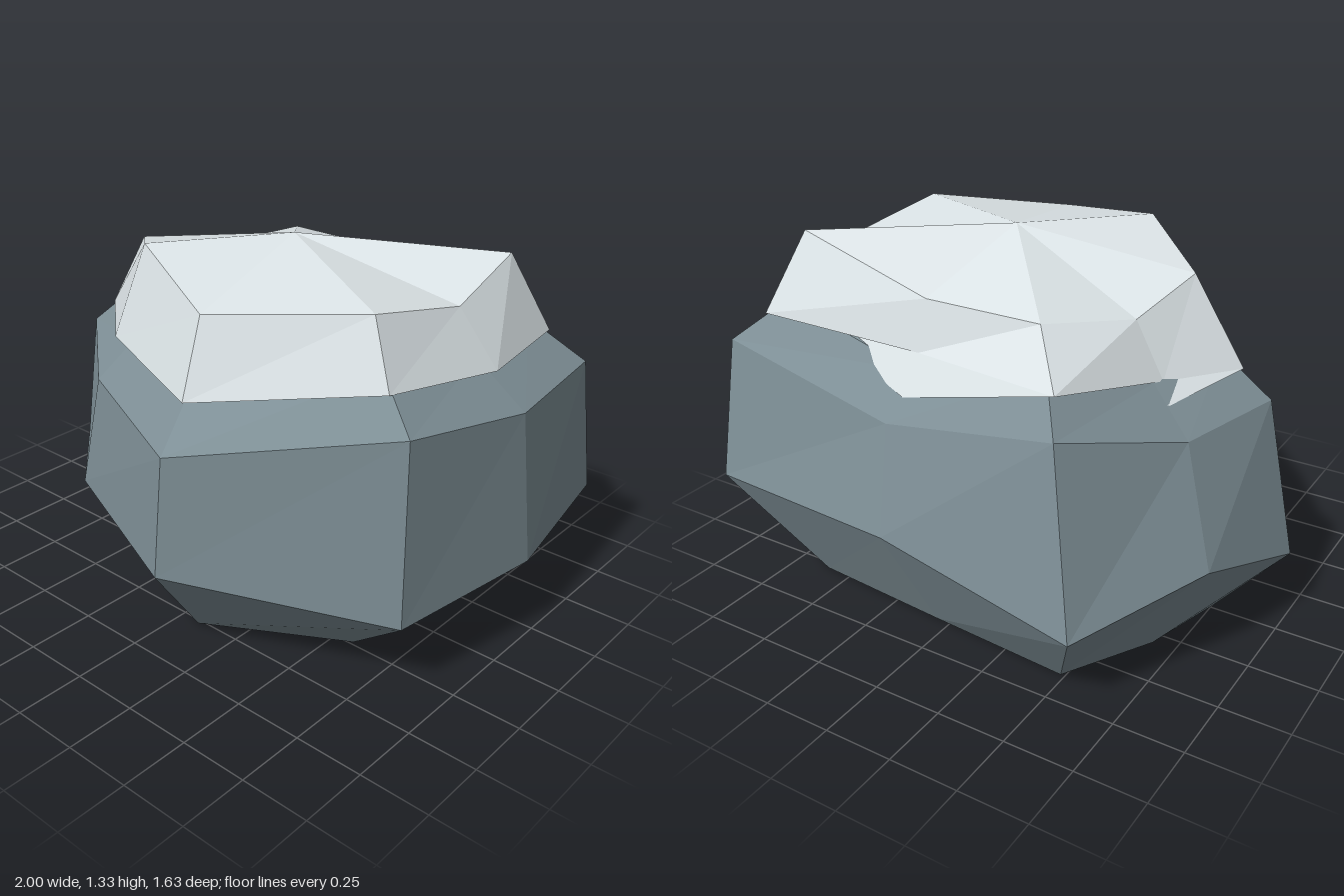
import * as THREE from 'three';

// Closed faceted skin over stacked nine-point rings, listed bottom to top.
function loft(rings, bottom, top) {
  const pos = [];
  const tri = (...pts) => pts.forEach((p) => pos.push(...p));
  const n = rings[0].length;
  for (let i = 0; i < n; i++) {
    const j = (i + 1) % n;
    tri(rings[0][j], rings[0][i], bottom);
    for (let k = 0; k < rings.length - 1; k++) {
      const lo = rings[k], hi = rings[k + 1];
      tri(lo[i], lo[j], hi[j]);
      tri(lo[i], hi[j], hi[i]);
    }
    const last = rings[rings.length - 1];
    tri(last[i], last[j], top);
  }
  const geo = new THREE.BufferGeometry();
  geo.setAttribute('position', new THREE.Float32BufferAttribute(pos, 3));
  geo.computeVertexNormals();
  return geo;
}

// Copies a ring with its plan scaled about a centre and its height shifted.
const inset = (ring, s, dy, cx = 0.03, cz = -0.03) =>
  ring.map(([x, y, z]) => [cx + (x - cx) * s, y + dy, cz + (z - cz) * s]);

export function createModel() {
  const rock = new THREE.MeshStandardMaterial({ name: 'blue grey rock', color: 0x7e8f96, flatShading: true });
  const snow = new THREE.MeshStandardMaterial({ name: 'snow white', color: 0xdde5e8, flatShading: true });

  // Boulder: widest ring, shoulder, and derived foot and crown
  const belly = [
    [-1, 0.27, 0.08], [-0.54, 0.35, 0.49], [0.19, 0.38, 0.81],
    [0.89, 0.29, 0.41], [1, 0.32, -0.17], [0.94, 0.385, -0.69],
    [0.15, 0.4, -0.76], [-0.62, 0.29, -0.82], [-0.88, 0.39, -0.36],
  ];
  const shoulder = [
    [-0.87, 0.82, 0.11], [-0.43, 0.8, 0.48], [0.22, 0.82, 0.79],
    [0.88, 0.95, 0.4], [0.97, 0.89, -0.11], [0.92, 0.905, -0.6],
    [0.18, 0.78, -0.66], [-0.5, 0.91, -0.71], [-0.75, 0.8, -0.29],
  ];
  const foot = belly.map(([x, , z]) => [0.7 * x - 0.05, 0, 0.7 * z - 0.05]);
  const crown = inset(shoulder, 0.8, 0.15);
  const boulder = new THREE.Mesh(
    loft([foot, belly, shoulder, crown], [-0.05, 0, -0.05], [0.05, 1.08, -0.03]), rock);
  boulder.name = 'boulder';

  // Snow cap: upper edge, rim, and an underside that sags over two hollows
  const upper = [
    [-0.57, 1.22, 0.1], [-0.27, 1.315, 0.37], [0.2, 1.23, 0.58],
    [0.67, 1.27, 0.31], [0.73, 1.21, -0.06], [0.7, 1.3, -0.41],
    [0.12, 1.18, -0.49], [-0.32, 1.18, -0.49], [-0.5, 1.135, -0.19],
  ];
  const rim = [
    [-0.77, 0.92, 0.09], [-0.37, 0.97, 0.44], [0.2, 0.96, 0.67],
    [0.77, 1.05, 0.36], [0.85, 1, -0.12], [0.8, 1.01, -0.54],
    [0.13, 1, -0.53], [-0.46, 1.025, -0.64], [-0.61, 0.945, -0.2],
  ];
  const under = inset(rim, 0.85, -0.01);
  under[6] = [0.15, 0.86, -0.6];
  under[8] = [-0.66, 0.89, -0.25];
  const cap = new THREE.Mesh(
    loft([under, rim, upper], [0.03, 0.95, -0.03], [0.06, 1.33, -0.03]), snow);
  cap.name = 'snowCap';

  const group = new THREE.Group();
  group.name = 'snowyRock';
  group.add(boulder, cap);
  return group;
}
